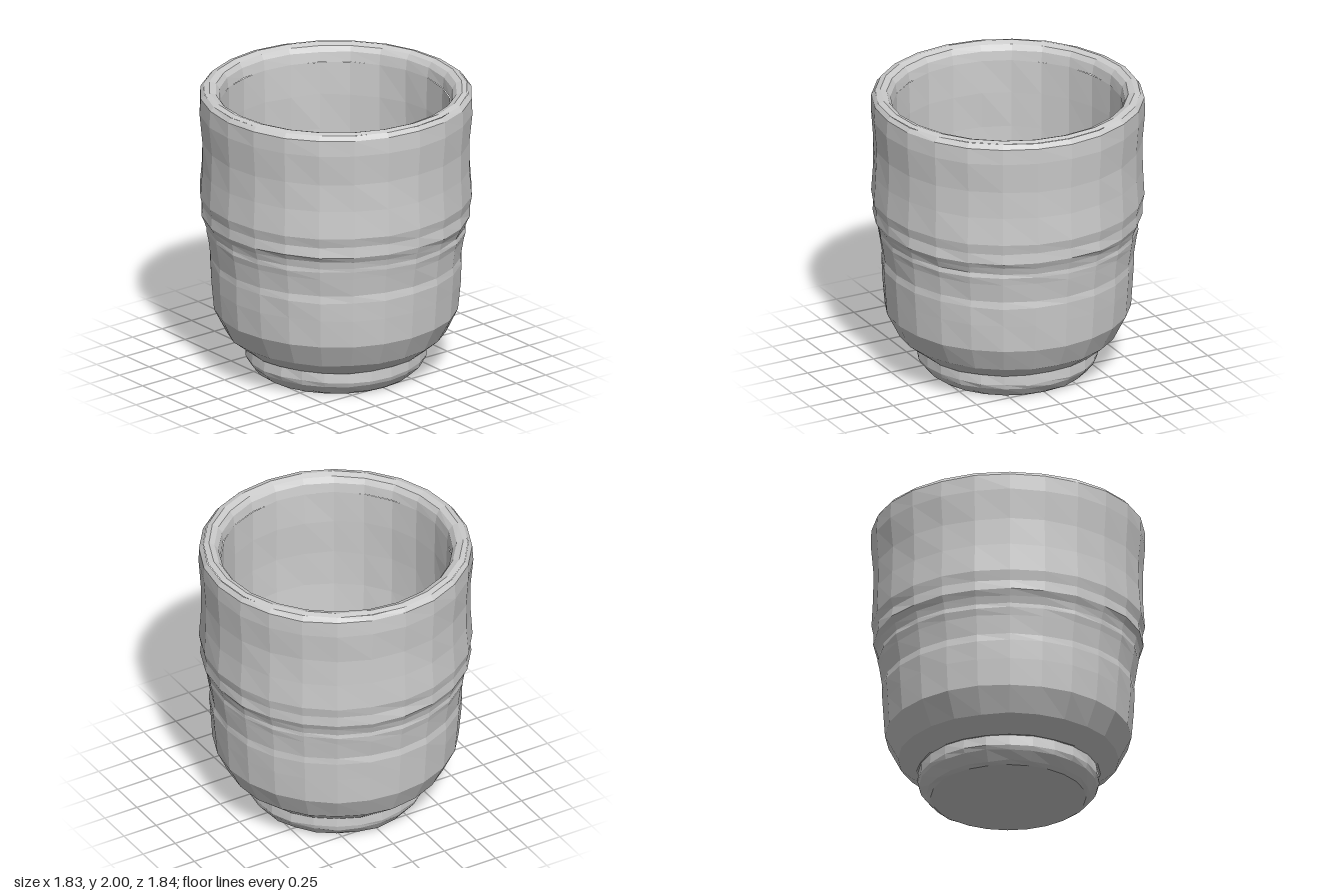
import * as THREE from 'three';

const SIDES = 24;

// Repeatable hash in -1..1, used for the hand-made unevenness
function wobble(ring, side, salt) {
  const s = Math.sin(ring * 127.1 + (side % SIDES) * 311.7 + salt * 74.7) * 43758.5453;
  return (s - Math.floor(s)) * 2 - 1;
}

// Faceted turned part; profile rows are [radius, height]
function turned(name, profile, material, roughness) {
  const geometry = new THREE.LatheGeometry(profile.map(([r, y]) => new THREE.Vector2(r, y)), SIDES);
  const pos = geometry.attributes.position;
  const rings = profile.length;
  for (let i = 0; i < pos.count; i++) {
    const ring = i % rings;
    const side = Math.floor(i / rings);
    const [r, y] = profile[ring];
    if (r === 0 || y === 0) continue;
    const k = 1 + wobble(ring, side, 1) * roughness;
    const dy = y > 1.98 ? 0 : wobble(ring, side, 2) * roughness;
    pos.setXYZ(i, pos.getX(i) * k, y + dy, pos.getZ(i) * k);
  }
  const flat = geometry.toNonIndexed();
  flat.computeVertexNormals();
  const mesh = new THREE.Mesh(flat, material);
  mesh.name = name;
  return mesh;
}

export function createModel() {
  const group = new THREE.Group();
  group.name = 'cup';
  const clay = new THREE.MeshStandardMaterial({ color: 0xcccccc, flatShading: true });

  // Foot ring with a flat, closed base
  group.add(turned('foot', [
    [0, 0], [0.52, 0], [0.55, 0.02], [0.598, 0.08], [0.61, 0.11], [0.605, 0.185],
  ], clay, 0.007));

  // Outer wall with throwing ridges, from the foot up
  group.add(turned('outerWall', [
    [0.59, 0.18], [0.615, 0.18], [0.74, 0.28], [0.825, 0.45], [0.84, 0.64], [0.848, 0.77],
    [0.842, 0.82], [0.862, 0.95], [0.872, 1.0], [0.87, 1.03], [0.885, 1.08], [0.905, 1.12],
    [0.9, 1.19], [0.915, 1.26], [0.903, 1.45], [0.9, 1.64], [0.918, 1.85], [0.913, 1.96],
    [0.888, 1.99],
  ], clay, 0.004));

  // Rounded lip
  group.add(turned('rim', [
    [0.888, 1.99], [0.85, 2.0], [0.81, 1.985], [0.785, 1.95], [0.775, 1.88],
  ], clay, 0.003));

  // Inner wall running down into a rounded floor
  group.add(turned('innerBowl', [
    [0.775, 1.88], [0.77, 1.65], [0.775, 1.4], [0.77, 1.15], [0.75, 0.9], [0.72, 0.7],
    [0.65, 0.5], [0.52, 0.36], [0.39, 0.29], [0.25, 0.25], [0, 0.24],
  ], clay, 0.005));

  return group;
}
